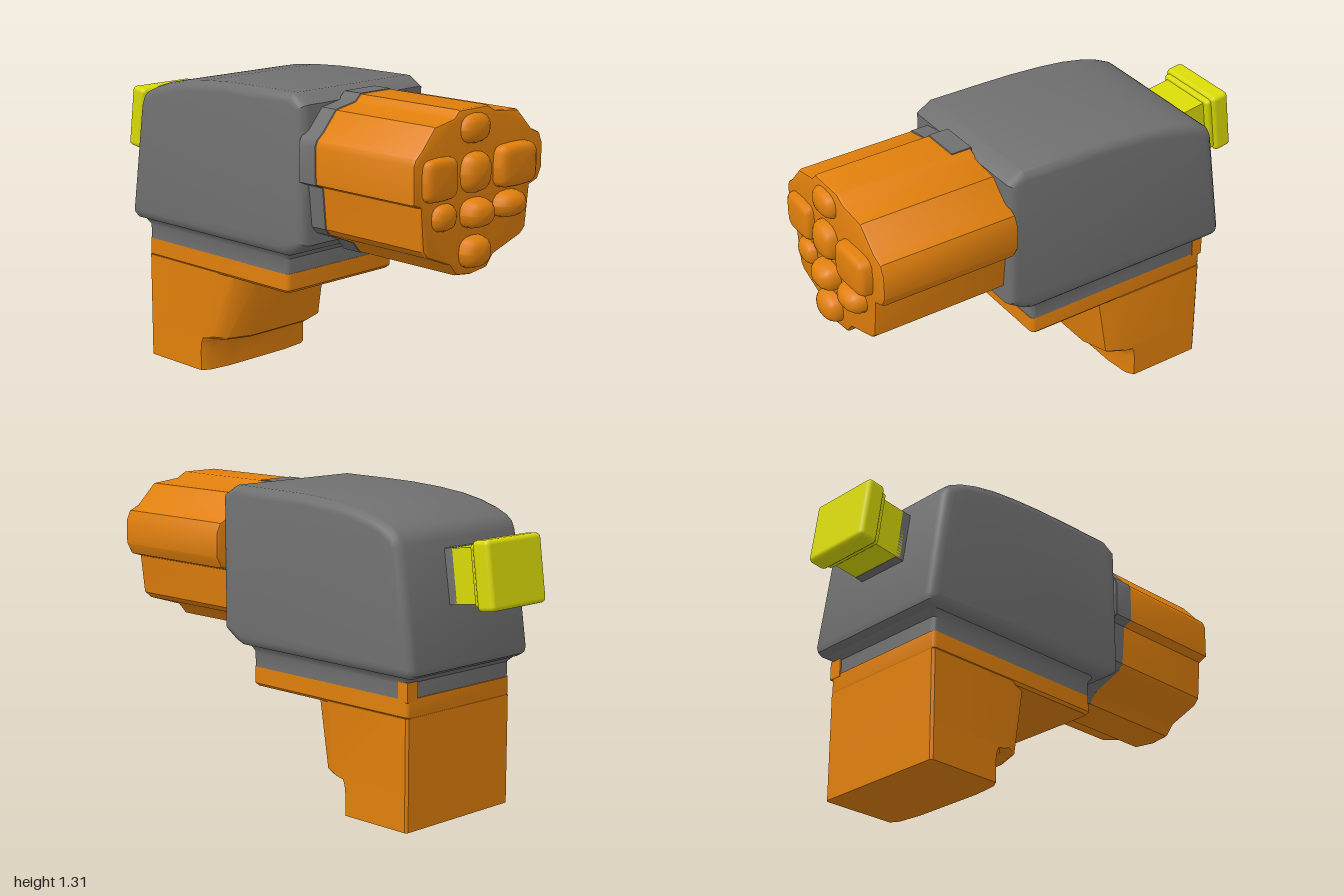
import * as THREE from 'three';
import { toCreasedNormals } from 'three/addons/utils/BufferGeometryUtils.js';
import { RoundedBoxGeometry } from 'three/addons/geometries/RoundedBoxGeometry.js';

const grey = new THREE.MeshStandardMaterial({ color: 0xcccccc });
grey.color.set(0x707070);
const orange = new THREE.MeshStandardMaterial({ color: 0xe07f0c });
const yellow = new THREE.MeshStandardMaterial({ color: 0xd8d808 });

const toShape = (pts) => new THREE.Shape(pts.map(([a, b]) => new THREE.Vector2(a, b)));

// Closed solid through rings of equal point count, listed from bottom to top
function loft(rings, crease = 0.6) {
  const n = rings[0].length;
  const pos = rings.flat(2);
  const idx = [];
  for (let r = 0; r < rings.length - 1; r++) {
    for (let i = 0; i < n; i++) {
      const a = r * n + i, b = r * n + (i + 1) % n;
      idx.push(a, b, b + n, a, b + n, a + n);
    }
  }
  const top = (rings.length - 1) * n;
  for (let i = 1; i < n - 1; i++) {
    idx.push(0, i + 1, i, top, top + i, top + i + 1);
  }
  const g = new THREE.BufferGeometry();
  g.setAttribute('position', new THREE.Float32BufferAttribute(pos, 3));
  g.setIndex(idx);
  return toCreasedNormals(g, crease);
}

// Horizontal rectangle with rounded corners, counter-clockwise seen from above
function roundedRing(y, x0, x1, z0, z1, r) {
  const ring = [];
  const corners = [[x1 - r, z0 + r], [x0 + r, z0 + r], [x0 + r, z1 - r], [x1 - r, z1 - r]];
  corners.forEach(([cx, cz], k) => {
    for (let s = 0; s <= 3; s++) {
      const t = (k + s / 3) * Math.PI / 2;
      ring.push([cx + r * Math.cos(t), y, cz - r * Math.sin(t)]);
    }
  });
  return ring;
}

// Grip section: straight back, bowed front
function gripRing(y, front, corner) {
  const mid = corner + (front - corner) * 0.62;
  return [[0.29, -0.70], [0.28, -0.71], [-0.32, -0.71], [-0.33, -0.70],
    [-0.33, corner], [-0.295, mid], [-0.185, front],
    [0.14, front], [0.255, mid], [0.29, corner]].map(([x, z]) => [x, y, z]);
}

// Pillow-like knob; a smaller power makes it boxier
function knobGeometry(rx, ry, rz, power) {
  const g = new THREE.SphereGeometry(1, 16, 10).rotateX(Math.PI / 2);
  const p = g.attributes.position;
  const f = (v) => Math.sign(v) * Math.abs(v) ** power;
  for (let i = 0; i < p.count; i++) {
    p.setXYZ(i, f(p.getX(i)) * rx, f(p.getY(i)) * ry, f(p.getZ(i)) * rz);
  }
  g.computeVertexNormals();
  return g;
}

export function createModel() {
  const model = new THREE.Group();
  const add = (name, geometry, material, parent = model) => {
    const mesh = new THREE.Mesh(geometry, material);
    mesh.name = name;
    parent.add(mesh);
    return mesh;
  };

  // Main housing: side profile (z, y) extruded across x with rounded edges
  const side = [[0.32, 0.69], [0.32, 1.265], [0.25, 1.307], [0, 1.305], [-0.15, 1.302],
    [-0.3, 1.293], [-0.42, 1.28], [-0.52, 1.26], [-0.6, 1.235], [-0.655, 1.21],
    [-0.685, 1.185], [-0.7, 1.15], [-0.772, 0.67], [-0.765, 0.645], [-0.74, 0.63],
    [0.21, 0.63], [0.25, 0.645]];
  const bevel = 0.04;
  const housing = new THREE.ExtrudeGeometry(toShape(side.reverse()), {
    depth: 0.72 - 2 * bevel, bevelThickness: bevel, bevelSize: bevel,
    bevelOffset: -bevel, bevelSegments: 3,
  }).rotateY(-Math.PI / 2).translate(0.34 - bevel, 0, 0);
  add('housing', toCreasedNormals(housing, 0.6), grey);

  // Flared waist under the housing
  add('waist', loft([
    roundedRing(0.54, -0.33, 0.29, -0.705, 0.18, 0.02),
    roundedRing(0.605, -0.33, 0.29, -0.705, 0.18, 0.02),
    roundedRing(0.625, -0.34, 0.30, -0.73, 0.195, 0.03),
    roundedRing(0.66, -0.37, 0.33, -0.75, 0.22, 0.03),
  ]), grey);

  // Plate on top of the grip, with a small tab at the rear corner
  add('gripPlate', loft([
    roundedRing(0.458, -0.32, 0.28, -0.705, 0.172, 0.02),
    roundedRing(0.47, -0.33, 0.29, -0.71, 0.182, 0.02),
    roundedRing(0.541, -0.33, 0.29, -0.71, 0.182, 0.02),
  ]), orange);
  add('gripTab', new THREE.BoxGeometry(0.06, 0.08, 0.05).translate(0.263, 0.57, -0.687), orange);

  // Grip with an overhanging upper block
  add('grip', loft([
    gripRing(0, -0.335, -0.37),
    gripRing(0.09, -0.335, -0.37),
    gripRing(0.13, -0.32, -0.365),
    gripRing(0.152, -0.29, -0.355),
    gripRing(0.158, -0.21, -0.32),
    gripRing(0.168, -0.195, -0.30),
    gripRing(0.465, -0.13, -0.28),
  ]), orange);

  // Clustered barrel block
  const outline = [[0.04, 1.293], [-0.13, 1.293], [-0.16, 1.265], [-0.27, 1.245],
    [-0.34, 1.165], [-0.375, 1.135], [-0.385, 1.11], [-0.382, 0.96], [-0.342, 0.943],
    [-0.325, 0.77], [-0.30, 0.742], [-0.17, 0.69], [-0.13, 0.643], [-0.045, 0.632],
    [0.05, 0.643], [0.09, 0.69], [0.255, 0.742], [0.285, 0.768], [0.305, 0.937],
    [0.355, 0.953], [0.38, 1.0], [0.38, 1.1], [0.36, 1.145], [0.31, 1.167],
    [0.22, 1.255], [0.085, 1.268]];
  const b = 0.014;
  const barrel = new THREE.ExtrudeGeometry(toShape(outline), {
    depth: 0.615 - 2 * b, bevelThickness: b, bevelSize: b, bevelOffset: -b, bevelSegments: 2,
  }).translate(0, 0, 0.305 + b);
  add('barrelBlock', toCreasedNormals(barrel, 0.6), orange);

  // Grey collar around one half of the barrel root
  const collar = new THREE.ExtrudeGeometry(toShape(outline.slice(0, 15)), {
    depth: 0.09, bevelThickness: 0.003, bevelSize: 0.003, bevelSegments: 1,
  }).translate(0, 0, 0.307);
  add('barrelCollar', toCreasedNormals(collar, 0.6), grey);

  // Muzzle knobs: x, y, half width, half height, tip z, power
  const knobs = new THREE.Group();
  knobs.name = 'muzzleKnobs';
  model.add(knobs);
  [[-0.045, 1.215, 0.082, 0.06, 0.96, 0.8],
    [-0.25, 1.043, 0.092, 0.085, 0.958, 0.45],
    [-0.045, 1.043, 0.08, 0.082, 0.975, 0.75],
    [0.185, 1.043, 0.115, 0.088, 0.975, 0.45],
    [-0.22, 0.89, 0.066, 0.055, 0.96, 0.8],
    [-0.043, 0.883, 0.08, 0.06, 0.998, 0.75],
    [0.157, 0.888, 0.086, 0.055, 0.99, 0.8],
    [-0.045, 0.728, 0.08, 0.065, 0.982, 0.75],
  ].forEach(([x, y, rx, ry, tip, power]) => {
    add('muzzleKnob', knobGeometry(rx, ry, tip - 0.91, power), orange, knobs)
      .position.set(x, y, 0.91);
  });

  // Rear plunger, tilted upwards
  const plunger = new THREE.Group();
  plunger.name = 'plunger';
  plunger.position.set(-0.045, 1.01, -0.74);
  plunger.rotation.x = 0.135;
  model.add(plunger);
  add('plungerSocket', new THREE.BoxGeometry(0.25, 0.225, 0.1), grey, plunger)
    .position.z = 0.03;
  add('plungerStem', new THREE.BoxGeometry(0.25, 0.222, 0.18), yellow, plunger)
    .position.z = -0.09;
  add('plungerStep', new RoundedBoxGeometry(0.3, 0.25, 0.05, 2, 0.015), yellow, plunger)
    .position.z = -0.155;
  add('plungerHead', new RoundedBoxGeometry(0.33, 0.278, 0.085, 2, 0.02), yellow, plunger)
    .position.z = -0.195;

  return model;
}
